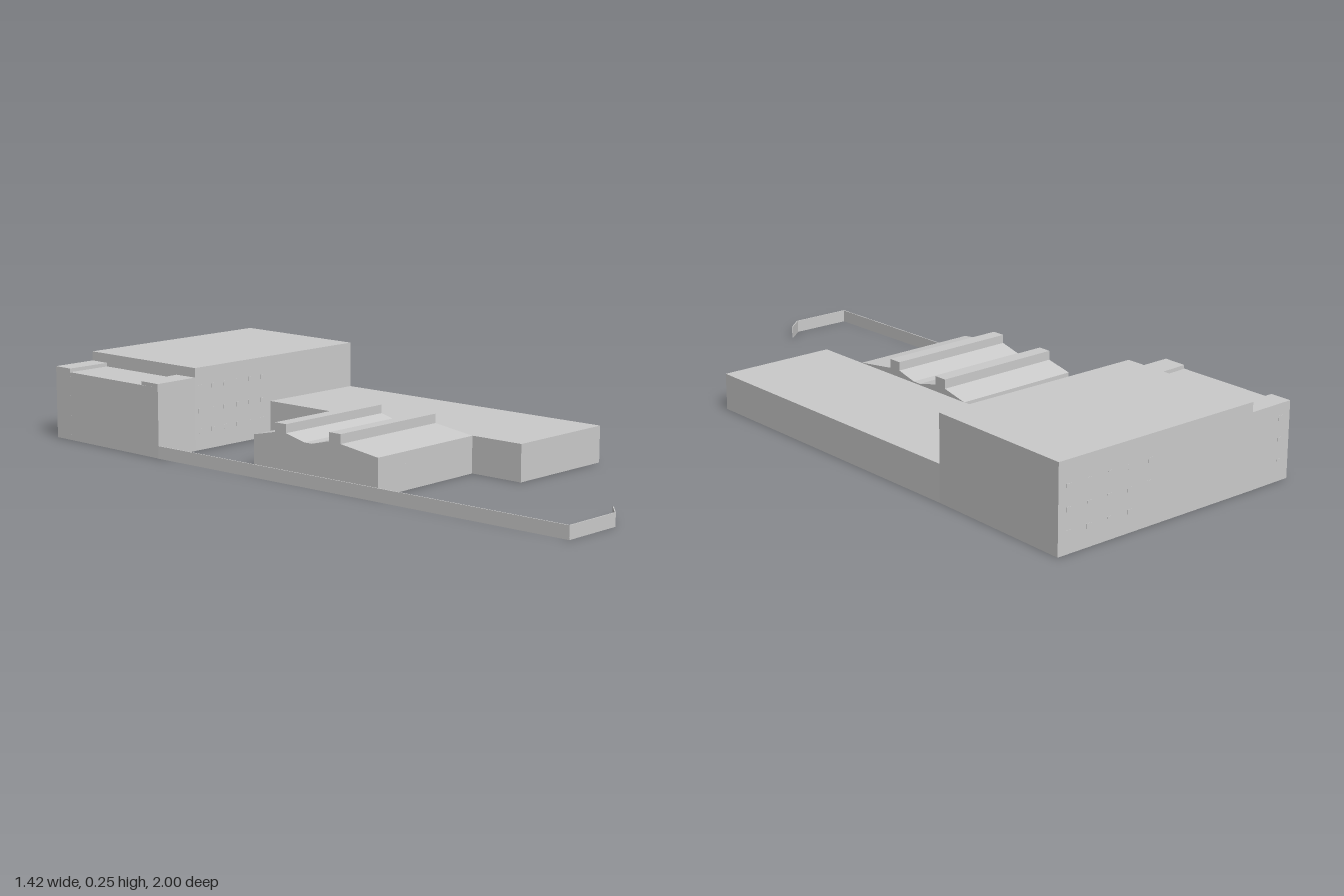
import * as THREE from 'three';

const grey = new THREE.MeshStandardMaterial({ color: 0xcccccc, flatShading: true, side: THREE.DoubleSide });

// Upright prism over a footprint of [x, z] corners
function block(name, corners, height) {
  const shape = new THREE.Shape(corners.map(([x, z]) => new THREE.Vector2(x, -z)));
  const geo = new THREE.ExtrudeGeometry(shape, { depth: height, bevelEnabled: false });
  geo.rotateX(-Math.PI / 2);
  const mesh = new THREE.Mesh(geo, grey);
  mesh.name = name;
  return mesh;
}

// Box standing along the line from p to q
function panel(name, p, q, height, thick, y = 0) {
  const dx = q[0] - p[0], dz = q[1] - p[1];
  const mesh = new THREE.Mesh(new THREE.BoxGeometry(Math.hypot(dx, dz), height, thick), grey);
  mesh.position.set((p[0] + q[0]) / 2, y + height / 2, (p[1] + q[1]) / 2);
  mesh.rotation.y = Math.atan2(-dz, dx);
  mesh.name = name;
  return mesh;
}

// Rows of small, nearly flush windows on a wall from p to q
function windows(name, p, q, count, rows) {
  const group = new THREE.Group();
  group.name = name;
  const at = t => [p[0] + (q[0] - p[0]) * t, p[1] + (q[1] - p[1]) * t];
  for (const y of rows) {
    for (let i = 0; i < count; i++) {
      const t = (i + 0.5) / count;
      group.add(panel('window', at(t - 0.12 / count), at(t + 0.12 / count), 0.013, 0.002, y));
    }
  }
  return group;
}

export function createModel() {
  const model = new THREE.Group();
  model.name = 'buildingComplex';

  // Tall main block with a lower end strip that has raised ends
  model.add(
    block('mainBlock', [[-0.01, -1.0], [0.215, -0.61], [-0.355, -0.28], [-0.587, -0.668]], 0.245),
    block('endStrip', [[-0.587, -0.668], [-0.355, -0.28], [-0.48, -0.205], [-0.71, -0.595]], 0.206),
    block('endStripBackCap', [[-0.587, -0.668], [-0.553, -0.611], [-0.677, -0.539], [-0.71, -0.595]], 0.217),
    block('endStripFrontCap', [[-0.395, -0.345], [-0.355, -0.28], [-0.48, -0.205], [-0.515, -0.267]], 0.217)
  );

  // Long low wing
  model.add(block('lowWing', [[0.215, -0.61], [-0.09, -0.433], [0.402, 0.377], [0.71, 0.2]], 0.107));

  // Hall with two raised roof lights and a shallow valley between them
  const profile = [[0, 0], [0, 0.107], [0.18, 0.125], [0.18, 0.152], [0.27, 0.152], [0.27, 0.127],
    [0.42, 0.111], [0.48, 0.111], [0.62, 0.127], [0.62, 0.152], [0.71, 0.152], [0.71, 0.125], [1, 0.107], [1, 0]];
  const hallShape = new THREE.Shape(profile.map(([u, y]) => new THREE.Vector2(u * 0.459, y)));
  const hall = new THREE.Mesh(new THREE.ExtrudeGeometry(hallShape, { depth: 0.394, bevelEnabled: false }), grey);
  hall.position.set(0.077, 0, -0.16);
  hall.rotation.y = -Math.atan2(0.857, 0.515);
  hall.name = 'hall';
  model.add(hall);

  // Thin boundary wall
  const path = [[-0.48, -0.205], [0.285, 0.995], [0.445, 0.905], [0.466, 0.845]];
  for (let i = 0; i < path.length - 1; i++) {
    model.add(panel('boundaryWall', path[i], path[i + 1], 0.037, 0.003));
  }

  // Windows on the outer walls
  model.add(
    windows('backWindows', [-0.71, -0.595], [-0.01, -1.0], 12, [0.05, 0.11, 0.17]),
    windows('courtWindows', [-0.36, -0.277], [-0.1, -0.427], 6, [0.05, 0.11, 0.18]),
    windows('hallWindows', [-0.02, 0.433], [0.31, 0.234], 5, [0.06])
  );
  return model;
}
